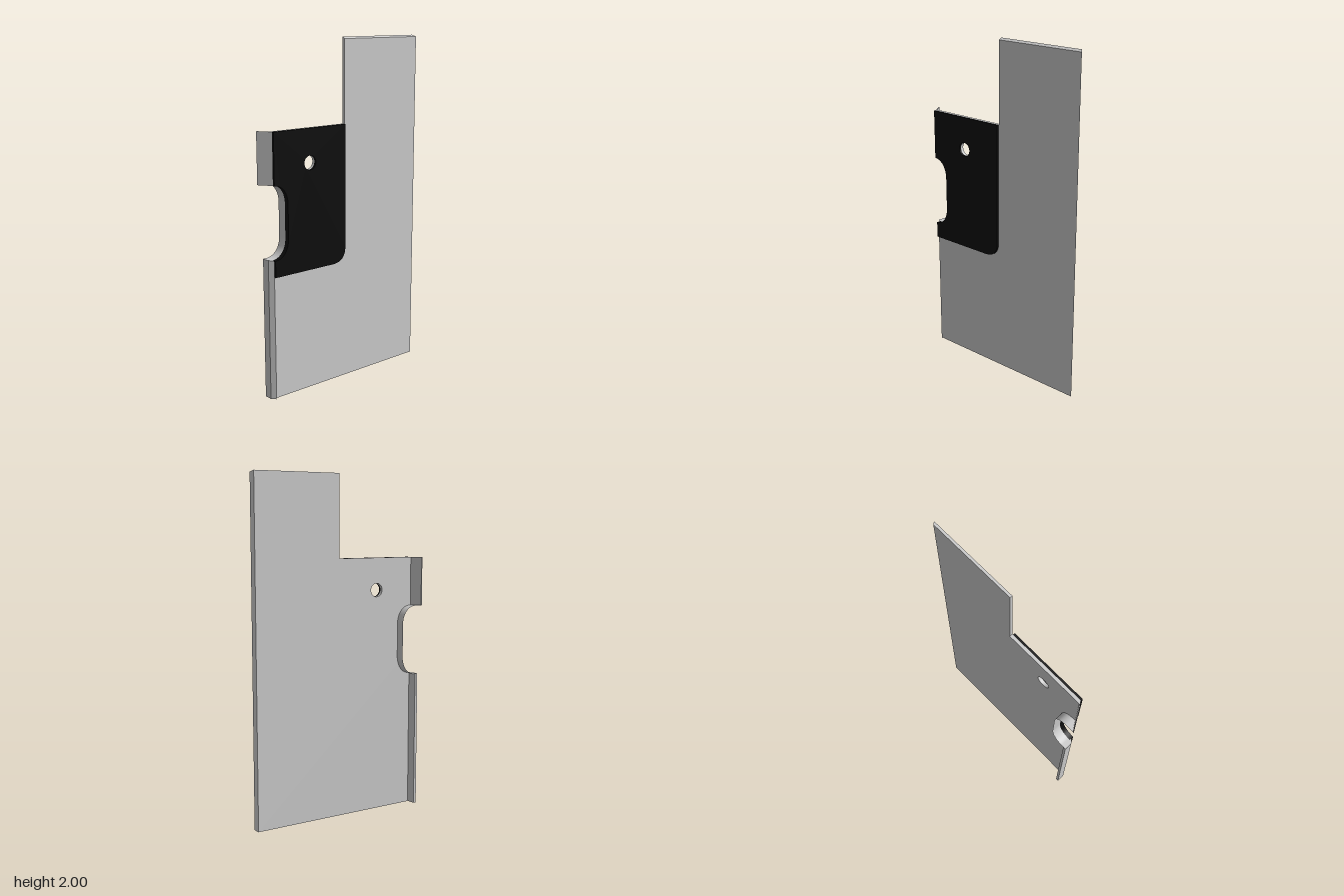
import * as THREE from 'three';

const grey = new THREE.MeshStandardMaterial({ color: 0xcccccc, side: THREE.DoubleSide });
const black = new THREE.MeshStandardMaterial({ color: 0x0d0d0d, side: THREE.DoubleSide });

// Sheet metal dimensions
const BACK = -0.555, FRONT = 0.505, INNER = 0.012, FACE = 0.03, LIP = -0.043;
const NOTCH_Z = 0.415, NOTCH_LOW = 0.815, NOTCH_HIGH = 1.23, CORNER = 0.11;

function mesh(name, geometry, material = grey) {
  const m = new THREE.Mesh(geometry, material);
  m.name = name;
  return m;
}

// Adds the rounded hand notch to an outline running up the front edge
function addNotch(path) {
  path.lineTo(FRONT, NOTCH_LOW);
  path.bezierCurveTo(0.45, NOTCH_LOW, NOTCH_Z, 0.865, NOTCH_Z, NOTCH_LOW + CORNER);
  path.lineTo(NOTCH_Z, NOTCH_HIGH - CORNER);
  path.bezierCurveTo(NOTCH_Z, 1.18, 0.45, NOTCH_HIGH, FRONT, NOTCH_HIGH);
}

function addHole(shape) {
  const hole = new THREE.Path();
  hole.absarc(0.26, 1.33, 0.04, 0, Math.PI * 2, true);
  shape.holes.push(hole);
}

// Extrudes a (z, y) outline between two x positions
function sideSheet(shape, x0, x1) {
  return new THREE.ExtrudeGeometry(shape, { depth: x1 - x0, bevelEnabled: false, curveSegments: 16 })
    .rotateY(-Math.PI / 2).translate(x1, 0, 0);
}

// Extrudes an (x, z) cross-section upwards between two heights
function upright(section, y0, y1) {
  const shape = new THREE.Shape(section.map(([x, z]) => new THREE.Vector2(x, -z)));
  return new THREE.ExtrudeGeometry(shape, { depth: y1 - y0, bevelEnabled: false })
    .rotateX(-Math.PI / 2).translate(0, y0, 0);
}

// Smooth strip across the notch edge; endZ gives the front ends as [z at x0, z at x1]
function notchStrip(x0, x1, lowEnd, highEnd, inset = 0) {
  const path = new THREE.Path();
  path.moveTo(FRONT, NOTCH_LOW);
  addNotch(path);
  const pts = path.getPoints(16).filter((p, i, a) => !i || p.distanceTo(a[i - 1]) > 1e-5);
  const n = pts.length;
  const geometry = new THREE.PlaneGeometry(1, 1, n - 1, 1);
  const pos = geometry.attributes.position;
  for (let row = 0; row < 2; row++) {
    pts.forEach((p, i) => {
      let z = p.x + inset;
      if (i === 0) z = lowEnd[row];
      if (i === n - 1) z = highEnd[row];
      pos.setXYZ(row * n + i, row ? x1 : x0, p.y, z);
    });
  }
  geometry.computeVertexNormals();
  return geometry;
}

export function createModel() {
  const group = new THREE.Group();
  group.name = 'sidePanel';

  // Stepped main panel
  const outline = new THREE.Shape();
  outline.moveTo(BACK, 0);
  outline.lineTo(FRONT, 0);
  addNotch(outline);
  outline.lineTo(FRONT, 1.52);
  outline.lineTo(0, 1.52);
  outline.lineTo(0, 2);
  outline.lineTo(BACK, 2);
  outline.closePath();
  addHole(outline);
  const panel = sideSheet(outline, INNER, FACE);
  // Chamfer the outer top and bottom edges and the inner rear edge
  const pos = panel.attributes.position;
  for (let i = 0; i < pos.count; i++) {
    const outer = pos.getX(i) > 0.02;
    if (outer && pos.getY(i) > 1.999) pos.setY(i, 1.99);
    if (outer && pos.getY(i) < 0.001) pos.setY(i, 0.01);
    if (!outer && pos.getZ(i) < BACK + 0.001) pos.setZ(i, BACK + 0.015);
  }
  panel.computeVertexNormals();
  group.add(mesh('mainPanel', panel));

  // Dark cover plate with one rounded lower corner
  const plate = new THREE.Shape();
  plate.moveTo(0.1, 0.72);
  plate.lineTo(FRONT, 0.72);
  addNotch(plate);
  plate.lineTo(FRONT, 1.52);
  plate.lineTo(0.005, 1.52);
  plate.lineTo(0.005, 0.81);
  plate.quadraticCurveTo(0.005, 0.72, 0.1, 0.72);
  addHole(plate);
  group.add(mesh('coverPlate', sideSheet(plate, FACE, 0.043), black));

  // Slanted upper flange, a thin sheet
  group.add(mesh('upperFlange', upright(
    [[FACE, FRONT], [LIP, 0.555], [LIP, 0.549], [INNER, 0.51], [INNER, FRONT]], NOTCH_HIGH, 1.52)));

  // Lower flange, folded flat across the front
  group.add(mesh('lowerFlange', upright(
    [[FACE, FRONT], [0.006, 0.527], [LIP, 0.527], [LIP, 0.51], [INNER, FRONT]], 0.002, NOTCH_LOW)));

  // Turned-in lip and dark edge lining of the notch
  group.add(mesh('notchLip', notchStrip(INNER, LIP, [0.52, 0.527], [0.515, 0.553])));
  group.add(mesh('notchLining',
    notchStrip(0.043, 0.015, [FRONT, FRONT], [FRONT, FRONT], 0.001), black));

  return group;
}
